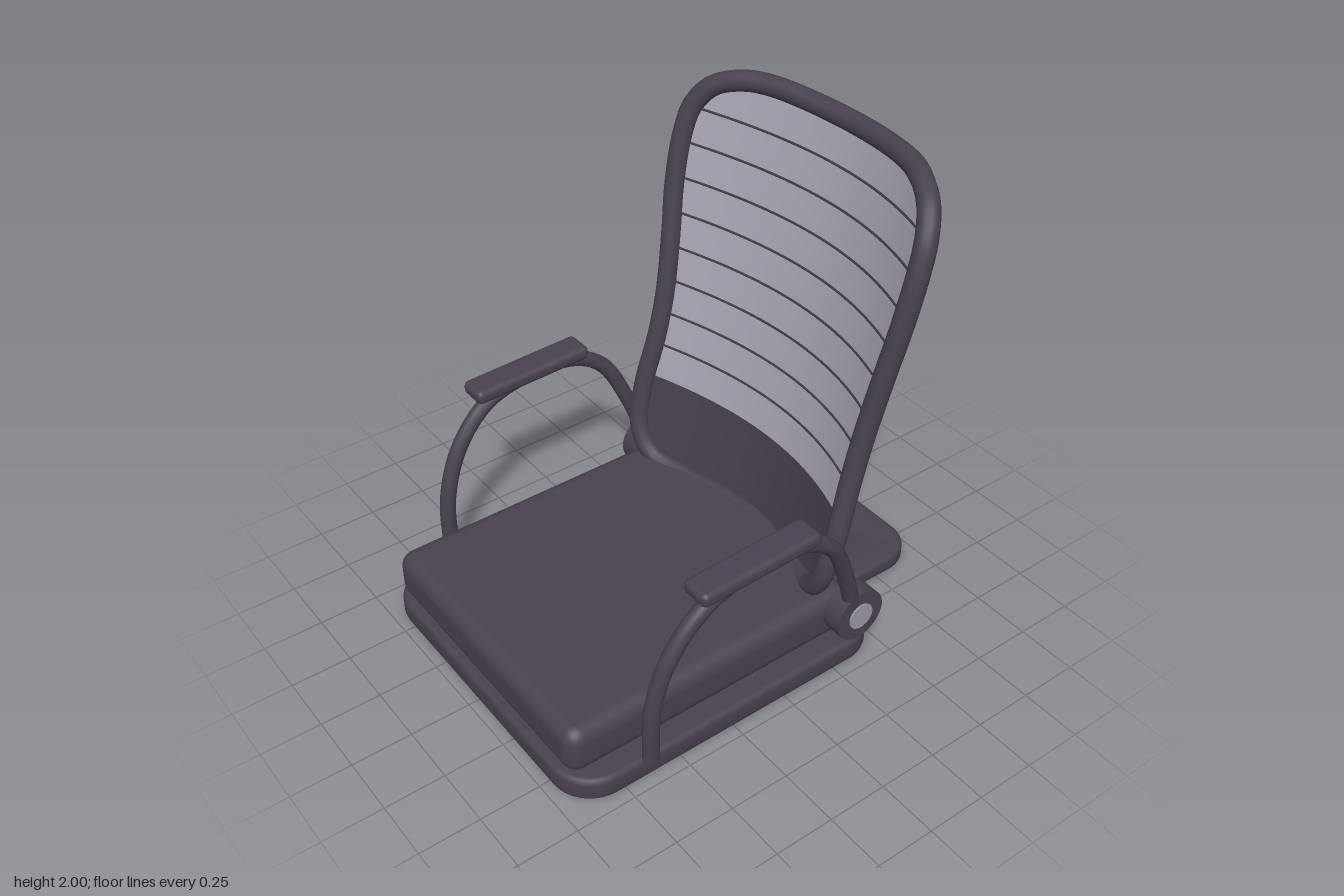
import * as THREE from 'three';
import { toCreasedNormals } from 'three/addons/utils/BufferGeometryUtils.js';
import { RoundedBoxGeometry } from 'three/addons/geometries/RoundedBoxGeometry.js';
import { ParametricGeometry } from 'three/addons/geometries/ParametricGeometry.js';

const V = (x, y, z) => new THREE.Vector3(x, y, z);

// depth of the leaning, curved back at a given x and y
const backZ = (x, y) => -0.3 - 0.25 * y + 0.17 * (x / 0.62) ** 2;

// left half of the back frame, from bottom centre to top centre
const FRAME = [
  [0, 0.28], [0.4, 0.28], [0.53, 0.32], [0.6, 0.43], [0.618, 0.6], [0.606, 0.85],
  [0.61, 1.05], [0.635, 1.3], [0.66, 1.5], [0.668, 1.7], [0.652, 1.82],
  [0.595, 1.905], [0.5, 1.945], [0.38, 1.957], [0, 1.944],
];

// half width of the frame at a height
function halfWidth(y) {
  for (let i = 2; i < FRAME.length - 1; i++) {
    const [x0, y0] = FRAME[i - 1], [x1, y1] = FRAME[i];
    if (y <= y1) return THREE.MathUtils.lerp(x0, x1, Math.max(0, (y - y0) / (y1 - y0)));
  }
  return 0.38;
}

// point on the back surface: u runs -1..1 across, v is the height on the centre line
function backPoint(u, v, target) {
  const x = u * halfWidth(v + 0.03);
  const y = v + 0.035 * (x / 0.6) ** 2;
  return target.set(x, y, backZ(x, y));
}

// flat plate lying in xz with rounded corners and soft edges
function plate(halfX, z0, z1, r, y0, y1, bevel, slot) {
  const roundRect = (path, a, b, c, d, q) => {
    path.moveTo(a + q, c);
    path.lineTo(b - q, c).absarc(b - q, c + q, q, -Math.PI / 2, 0, false);
    path.lineTo(b, d - q).absarc(b - q, d - q, q, 0, Math.PI / 2, false);
    path.lineTo(a + q, d).absarc(a + q, d - q, q, Math.PI / 2, Math.PI, false);
    path.lineTo(a, c + q).absarc(a + q, c + q, q, Math.PI, Math.PI * 1.5, false);
    return path;
  };
  const shape = roundRect(new THREE.Shape(), -halfX, halfX, z0, z1, r);
  if (slot) shape.holes.push(roundRect(new THREE.Path(), ...slot));
  const geo = new THREE.ExtrudeGeometry(shape, {
    depth: y1 - y0 - 2 * bevel, bevelEnabled: true, bevelThickness: bevel,
    bevelSize: bevel, bevelOffset: -bevel, bevelSegments: 3, curveSegments: 10,
  });
  geo.rotateX(Math.PI / 2).translate(0, y1 - bevel, 0);
  return toCreasedNormals(geo, 0.6);
}

export function createModel() {
  const model = new THREE.Group();
  model.name = 'floorChair';
  const material = (name, color, side = THREE.FrontSide) => {
    const m = new THREE.MeshStandardMaterial({ color, side });
    m.name = name;
    return m;
  };
  const dark = material('darkPlum', 0x48414f);
  const panel = material('panelPlum', 0x453e4c, THREE.DoubleSide);
  const mesh = material('meshGrey', 0xa5a2b0, THREE.DoubleSide);
  const rib = material('ribCharcoal', 0x3f3b46, THREE.DoubleSide);
  const metal = material('capGrey', 0x9a97a4);

  const add = (name, geo, mat, parent = model) => {
    const m = new THREE.Mesh(geo, mat);
    m.name = name;
    parent.add(m);
    return m;
  };

  // base board and rear carrying handle
  add('base', plate(0.7, -0.5, 0.96, 0.17, 0, 0.1, 0.022), dark);
  add('carryHandle', plate(0.415, -0.96, -0.42, 0.15, 0.015, 0.085, 0.015,
    [-0.18, 0.18, -0.78, -0.71, 0.034]), dark);

  // seat cushion
  const seat = add('seatCushion', new RoundedBoxGeometry(1.26, 0.21, 1.335, 4, 0.065), dark);
  seat.position.set(0, 0.205, 0.273);

  // back frame loop
  const mirrored = FRAME.slice(1, -1).reverse().map(([x, y]) => [-x, y]);
  const loop = [...FRAME, ...mirrored].map(([x, y]) => V(x, y, backZ(x, y)));
  add('backFrame', new THREE.TubeGeometry(
    new THREE.CatmullRomCurve3(loop, true, 'centripetal'), 160, 0.042, 14, true), dark);

  // solid lower panel and mesh above it
  const sheet = (v0, v1, rows) => new ParametricGeometry(
    (u, v, t) => backPoint(u * 2 - 1, v0 + (v1 - v0) * v, t), 28, rows);
  add('lowerBackPanel', sheet(0.27, 0.635, 12), panel);
  add('backMesh', sheet(0.635, 1.93, 48), mesh);

  // thin curved ribs across the mesh
  for (let i = 0; i < 8; i++) {
    const height = 0.78 + i * 0.1415;
    add('backRib', new ParametricGeometry((u, v, t) => {
      backPoint(u * 2 - 1, height, t);
      const a = v * Math.PI * 2;
      const out = 0.016 * Math.cos(a) - 0.008, up = 0.006 * Math.sin(a);
      t.y += 0.24 * out + up * 0.97;
      t.z += 0.97 * out - up * 0.24;
    }, 28, 8), rib);
  }

  // small plain tag behind the lower panel
  const tag = add('backTag', new THREE.BoxGeometry(0.18, 0.05, 0.008), metal);
  tag.position.set(0, 0.455, backZ(0, 0.455) - 0.018);
  tag.rotation.x = -0.245;

  // armrests with pivots on both sides
  for (const s of [1, -1]) {
    const arm = new THREE.Group();
    arm.name = s > 0 ? 'leftArmrest' : 'rightArmrest';
    model.add(arm);

    const path = [
      [0.71, 0.11, 0.65], [0.715, 0.38, 0.64], [0.725, 0.6, 0.56], [0.733, 0.75, 0.42],
      [0.735, 0.805, 0.25], [0.735, 0.8, 0], [0.73, 0.71, -0.15],
      [0.705, 0.5, -0.26], [0.68, 0.25, -0.345],
    ].map(([x, y, z]) => V(s * x, y, z));
    add('armTube', new THREE.TubeGeometry(
      new THREE.CatmullRomCurve3(path), 60, 0.033, 12, false), dark, arm);

    // closed ends of the tube
    const foot = add('armTubeEnd', new THREE.CircleGeometry(0.033, 12), dark, arm);
    foot.position.copy(path[0]);
    foot.rotation.x = Math.PI / 2;

    const pad = add('armPad', new RoundedBoxGeometry(0.13, 0.062, 0.535, 4, 0.026), dark, arm);
    pad.position.set(s * 0.733, 0.835, 0.215);
    pad.rotation.x = 0.035;

    const hub = add('pivotHub', new THREE.CylinderGeometry(0.113, 0.113, 0.09, 36), dark, arm);
    hub.position.set(s * 0.672, 0.245, -0.35);
    hub.rotation.z = Math.PI / 2;

    const cap = add('pivotCap', new THREE.CylinderGeometry(0.057, 0.057, 0.008, 28), metal, arm);
    cap.position.set(s * 0.72, 0.245, -0.35);
    cap.rotation.z = Math.PI / 2;
  }
  return model;
}
